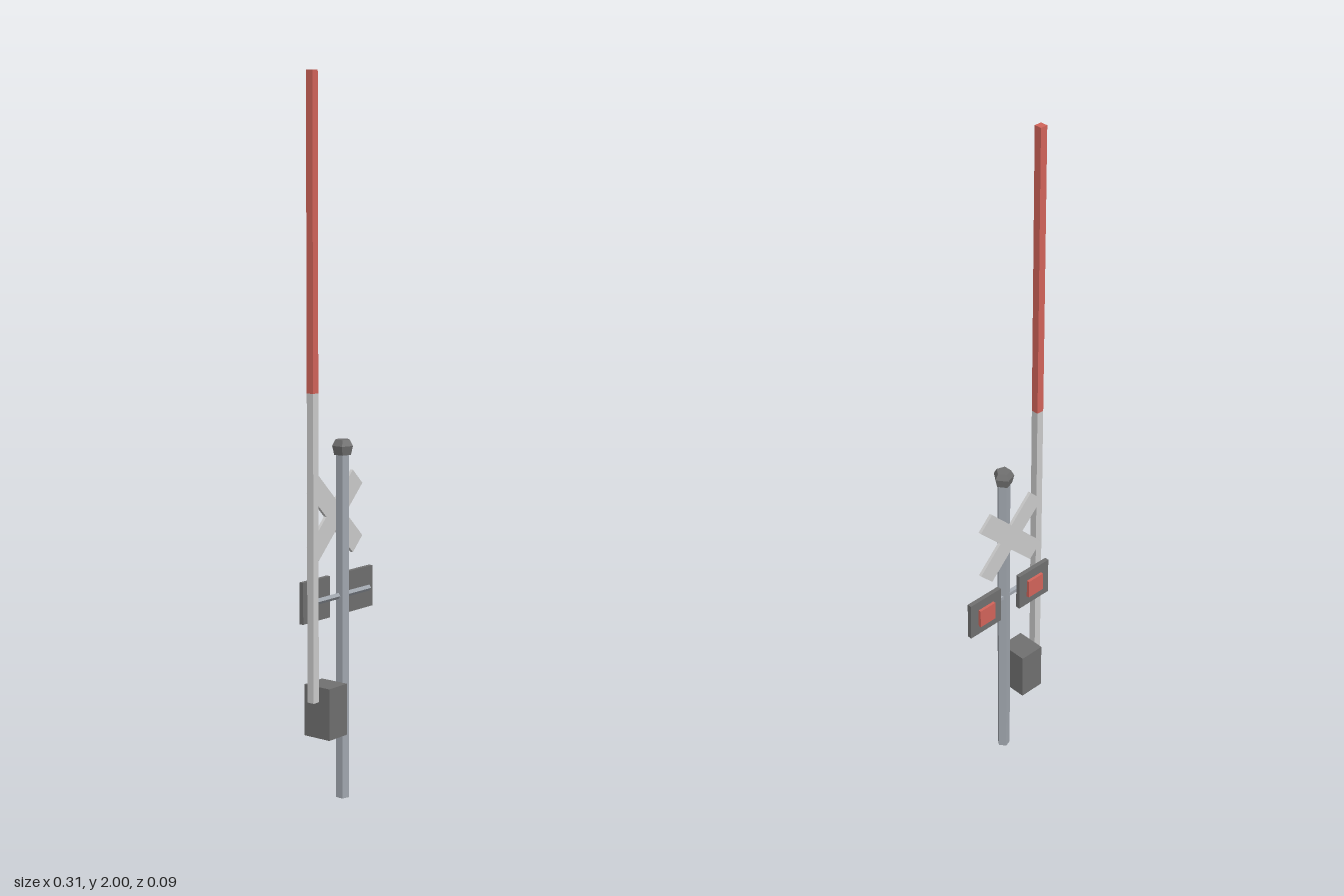
import * as THREE from 'three';

const material = (color) => new THREE.MeshStandardMaterial({ color, flatShading: true });

export function createModel() {
  const model = new THREE.Group();
  model.name = 'crossingSignal';
  const white = material(0xcccccc);
  const steel = material(0xa0a6ae);
  const dark = material(0x707070);
  const red = material(0xd2645a);

  const add = (name, geometry, mat, x = 0, y = 0, z = 0) => {
    const mesh = new THREE.Mesh(geometry, mat);
    mesh.name = name;
    mesh.position.set(x, y, z);
    model.add(mesh);
    return mesh;
  };
  const box = (name, w, h, d, mat, x, y, z) =>
    add(name, new THREE.BoxGeometry(w, h, d), mat, x, y, z);

  // Five-sided post with a corner towards +x
  add('post', new THREE.CylinderGeometry(0.019, 0.019, 0.98, 5, 1, false, Math.PI / 2), steel, 0, 0.49, 0);

  // Faceted cap, widest near its top
  const capProfile = [[0, 0.97], [0.024, 0.97], [0.03, 0.995], [0.021, 1.012], [0, 1.012]]
    .map(([r, y]) => new THREE.Vector2(r, y));
  add('postCap', new THREE.LatheGeometry(capProfile, 5, Math.PI / 2), dark);

  // Crossed boards as one X-shaped plate, facing the back
  const L = 0.135, w = 0.03;
  const cross = new THREE.Shape();
  for (let i = 0; i < 4; i++) {
    const a = Math.PI / 4 + i * Math.PI / 2;
    for (const [u, v] of [[w, -w], [L, -w], [L, w]]) {
      const x = u * Math.cos(a) - v * Math.sin(a);
      const y = u * Math.sin(a) + v * Math.cos(a);
      if (i === 0 && u === w) cross.moveTo(x, y);
      else cross.lineTo(x, y);
    }
  }
  cross.closePath();
  add('crossBoards', new THREE.ExtrudeGeometry(cross, { depth: 0.009, bevelEnabled: false }),
    white, 0, 0.8, -0.032);

  // Horizontal bar carrying the two signal lamps
  const bar = add('lampBar', new THREE.CylinderGeometry(0.009, 0.009, 0.246, 5), steel, 0, 0.577, -0.005);
  bar.rotation.z = Math.PI / 2;
  for (const [side, s] of [['left', 1], ['right', -1]]) {
    box(side + 'LampPanel', 0.116, 0.116, 0.013, dark, s * 0.095, 0.577, -0.021);
    box(side + 'Lamp', 0.057, 0.057, 0.01, red, s * 0.095, 0.577, -0.031);
  }

  // Raised barrier arm in two colours
  box('barrierArmLower', 0.022, 0.85, 0.022, white, -0.129, 0.725, 0);
  box('barrierArmUpper', 0.022, 0.85, 0.022, red, -0.129, 1.575, 0);

  // Drive housing beside the post
  box('driveHousing', 0.077, 0.145, 0.088, dark, -0.0735, 0.2675, -0.001);

  return model;
}
